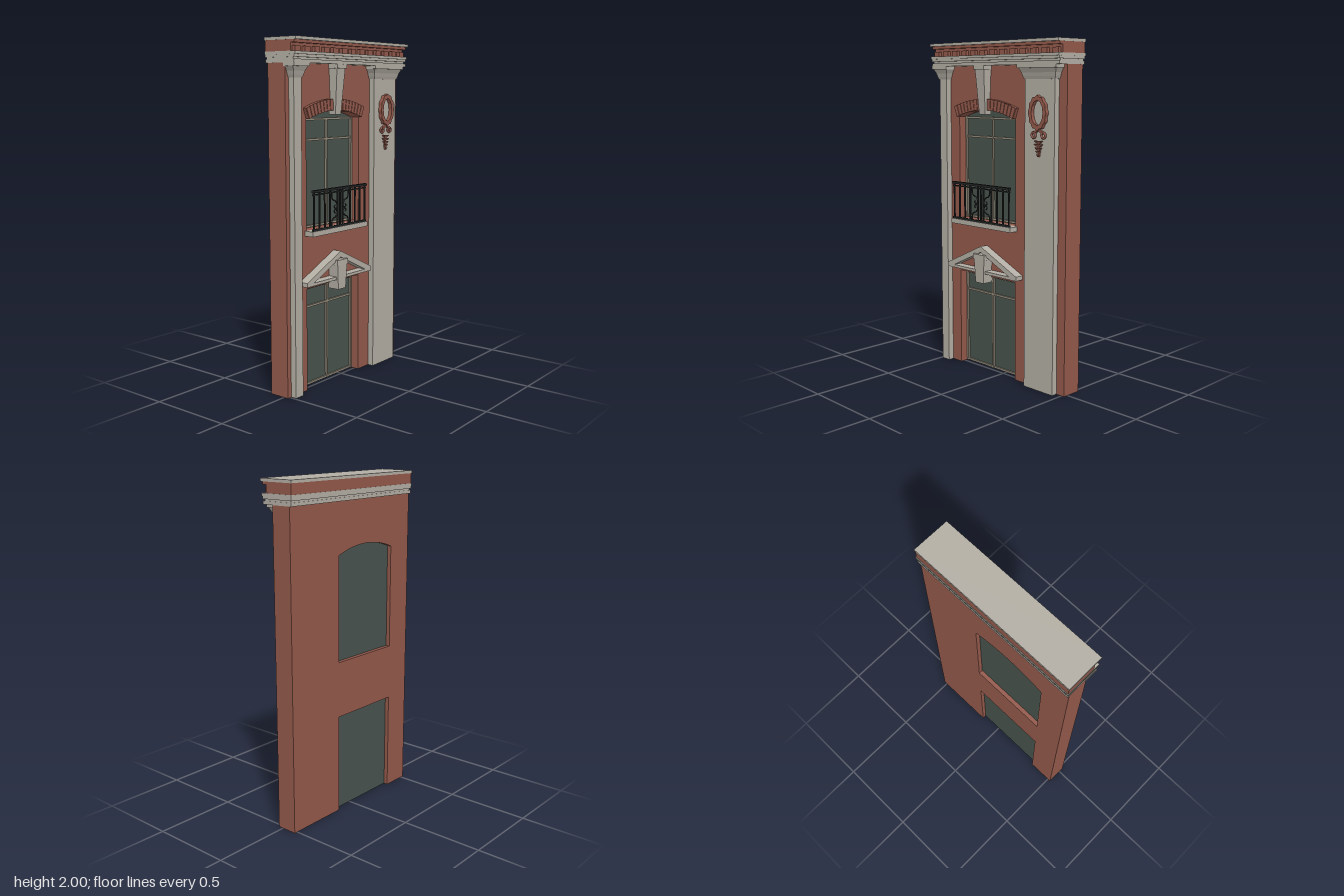
import * as THREE from 'three';

const mat = (name, color) => {
  const m = new THREE.MeshStandardMaterial({ color });
  m.name = name;
  return m;
};

export function createModel() {
  const root = new THREE.Group();
  root.name = 'facade';
  const brick = mat('brick', 0x93594b);
  const stone = mat('stone', 0xb3aea4);
  const glass = mat('darkGlass', 0x48534d);
  const trim = mat('windowTrim', 0x938a7a);
  const iron = mat('blackIron', 0x222324);

  const CX = -0.11;          // centre line of the openings
  const HALF = 0.24;         // half width of the openings
  const WALL = 0.03, BACK = -0.095, PIL = 0.066;

  const group = (name) => {
    const g = new THREE.Group();
    g.name = name;
    root.add(g);
    return g;
  };
  const add = (name, geo, material, parent = root) => {
    const m = new THREE.Mesh(geo, material);
    m.name = name;
    parent.add(m);
    return m;
  };
  const box = (name, x0, x1, y0, y1, z0, z1, material, parent) => {
    const g = new THREE.BoxGeometry(x1 - x0, y1 - y0, z1 - z0);
    g.translate((x0 + x1) / 2, (y0 + y1) / 2, (z0 + z1) / 2);
    return add(name, g, material, parent);
  };
  // Box whose width and front depth differ between bottom and top
  const taper = (name, cx, hb, ht, y0, y1, z0, zb, zt, material, parent) => {
    const g = new THREE.BoxGeometry(2, 1, 1);
    const p = g.attributes.position;
    for (let i = 0; i < p.count; i++) {
      const top = p.getY(i) > 0;
      p.setXYZ(i, cx + p.getX(i) * (top ? ht : hb), top ? y1 : y0,
        p.getZ(i) > 0 ? (top ? zt : zb) : z0);
    }
    const flat = g.toNonIndexed();
    flat.computeVertexNormals();
    return add(name, flat, material, parent);
  };
  const extrude = (name, shape, z0, z1, material, parent) => {
    const g = new THREE.ExtrudeGeometry(shape, { depth: z1 - z0, bevelEnabled: false, curveSegments: 20 });
    g.translate(0, 0, z0);
    return add(name, g, material, parent);
  };
  const poly = (pts) => new THREE.Shape(pts.map(([x, y]) => new THREE.Vector2(x, y)));

  // Segmental arch of the upper window
  const R = 0.66, AY = 0.945, A = Math.asin(HALF / R);
  const archOpening = (Type) => {
    const s = new Type();
    s.moveTo(CX - HALF, 0.935);
    s.lineTo(CX + HALF, 0.935);
    s.absarc(CX, AY, R, Math.PI / 2 - A, Math.PI / 2 + A, false);
    s.closePath();
    return s;
  };

  // Brick wall with a door notch and an arched window hole
  const wall = poly([[-0.52, 0], [CX - HALF, 0], [CX - HALF, 0.6], [CX + HALF, 0.6],
    [CX + HALF, 0], [0.52, 0], [0.52, 1.88], [-0.52, 1.88]]);
  wall.holes.push(archOpening(THREE.Path));
  extrude('wall', wall, BACK, WALL, brick);

  // Glazing and bars
  const G0 = -0.07, G1 = -0.03, F1 = -0.018;
  const door = group('doorGlazing'), win = group('windowGlazing');
  box('doorGlass', CX - HALF, CX + HALF, 0.002, 0.6, G0, G1, glass, door);
  extrude('windowGlass', archOpening(THREE.Shape), G0, G1, glass, win);
  const bars = (g, y0, y1, rows) => {
    for (const x of [-HALF + 0.007, 0, HALF - 0.007])
      box('verticalBar', CX + x - 0.006, CX + x + 0.006, y0, y1, G1, F1, trim, g);
    for (const y of rows)
      box('crossBar', CX - HALF, CX + HALF, y - 0.006, y + 0.006, G1, F1 - 0.002, trim, g);
  };
  bars(door, 0.002, 0.59, [0.01, 0.475, 0.585]);
  bars(win, 0.936, 1.56, [0.945, 1.44, 1.555]);

  // Brick voussoirs around the arch
  const arch = group('brickArch');
  const N = 18, step = 2 * A / N;
  for (let i = 0; i < N; i++) {
    const a0 = Math.PI / 2 - A + i * step + 0.0025, a1 = a0 + step - 0.005;
    const pt = (r, a) => [CX + r * Math.cos(a), AY + r * Math.sin(a)];
    extrude('archBrick', poly([pt(R, a0), pt(R + 0.065, a0), pt(R + 0.065, a1), pt(R, a1)]),
      WALL - 0.01, 0.055, brick, arch);
  }
  extrude('archBacking', poly([...Array(13).keys()].map((i) => i / 12 * 2 * A - A)
    .flatMap((a) => [[CX + R * Math.sin(a), AY + R * Math.cos(a)]])
    .concat([...Array(13).keys()].map((i) => A - i / 12 * 2 * A)
      .map((a) => [CX + (R + 0.063) * Math.sin(a), AY + (R + 0.063) * Math.cos(a)]))),
  WALL - 0.01, 0.049, brick, arch);

  // Upper keystone reaching the cornice
  const key = group('upperKeystone');
  taper('keystoneBody', CX, 0.025, 0.038, 1.58, 1.845, WALL - 0.01, 0.066, 0.088, stone, key);
  box('keystoneCap', CX - 0.044, CX + 0.044, 1.84, 1.87, WALL, 0.095, stone, key);

  // Pilasters with flared capitals
  const pilaster = (name, cx, h) => {
    const g = group(name);
    box('shaft', cx - h, cx + h, 0, 1.8, WALL - 0.01, PIL, stone, g);
    const prof = [[1.785, 0.004], [1.8, 0.01], [1.82, 0.016], [1.845, 0.029]];
    for (let i = 0; i < 3; i++) {
      const [y0, d0] = prof[i], [y1, d1] = prof[i + 1];
      taper('capitalFlare', cx, h + d0, h + d1, y0, y1, WALL - 0.01, PIL + d0 * 0.8, PIL + d1 * 0.8, stone, g);
    }
    box('capitalSlab', cx - h - 0.034, cx + h + 0.034, 1.845, 1.87, WALL - 0.01, 0.098, stone, g);
  };
  pilaster('narrowPilaster', -0.46, 0.031);
  pilaster('widePilaster', 0.35, 0.112);

  // Cornice: stacked courses with a dentil row
  const cornice = group('cornice');
  const course = (name, y0, y1, zf, m, hx = 0.525, zb = -0.113) =>
    box(name, -hx, hx, y0, y1, zb, zf, m, cornice);
  course('lowerMoulding', 1.863, 1.882, 0.098, stone, 0.522, -0.108);
  course('mouldingNeck', 1.882, 1.892, 0.088, stone, 0.518, -0.104);
  course('middleMoulding', 1.892, 1.907, 0.1, stone, 0.523, -0.11);
  course('upperMoulding', 1.907, 1.923, 0.106, stone);
  course('frieze', 1.923, 1.967, 0.072, brick, 0.522, -0.11);
  course('friezeBand', 1.967, 1.983, 0.097, brick, 0.522, -0.11);
  course('topSlab', 1.983, 2, 0.113, stone);
  for (let i = -6; i <= 6; i++)
    box('dentil', i * 0.081 - 0.022, i * 0.081 + 0.022, 1.923, 1.952, 0.07, 0.092, brick, cornice);

  // Window sill and iron railing
  box('sill', CX - 0.255, CX + 0.255, 0.906, 0.935, WALL - 0.01, 0.09, stone);
  const rail = group('railing');
  const RZ = 0.08;
  box('topRail', CX - 0.245, CX + 0.245, 1.152, 1.166, RZ - 0.01, RZ + 0.01, iron, rail);
  box('upperRail', CX - 0.245, CX + 0.245, 1.137, 1.144, RZ - 0.005, RZ + 0.005, iron, rail);
  box('bottomRail', CX - 0.245, CX + 0.245, 0.935, 0.947, RZ - 0.006, RZ + 0.006, iron, rail);
  for (const d of [0, 0.023, 0.092, 0.14, 0.187, 0.236])
    for (const s of d ? [-1, 1] : [1])
      box('baluster', CX + s * d - 0.004, CX + s * d + 0.004, 0.94, 1.155, RZ - 0.004, RZ + 0.004, iron, rail);
  const curl = [[0.078, 1.138], [0.07, 1.1], [0.04, 1.085], [0.027, 1.06], [0.04, 1.044], [0.055, 1.055], [0.045, 1.066]];
  for (const s of [-1, 1]) for (const v of [-1, 1]) {
    const path = new THREE.CatmullRomCurve3(curl.map(([x, y]) =>
      new THREE.Vector3(CX + s * x, 1.042 + v * (y - 1.042), RZ)));
    add('scroll', new THREE.TubeGeometry(path, 24, 0.0042, 5), iron, rail);
  }

  // Door pediment with its keystone
  const ped = group('doorPediment');
  const gable = poly([[-0.3, 0.625], [0.3, 0.625], [0.3, 0.65], [0, 0.79], [-0.3, 0.65]]
    .map(([x, y]) => [CX + x, y]));
  gable.holes.push(poly([[-0.24, 0.642], [0, 0.754], [0.24, 0.642]].map(([x, y]) => [CX + x, y])));
  extrude('gableMoulding', gable, WALL - 0.01, 0.085, stone, ped);
  taper('doorKeystone', CX, 0.034, 0.044, 0.567, 0.715, WALL - 0.01, 0.094, 0.098, stone, ped);
  box('doorKeystoneCap', CX - 0.05, CX + 0.05, 0.712, 0.742, WALL - 0.01, 0.101, stone, ped);

  // Wreath ornament on the wide pilaster
  const orn = group('wreathOrnament');
  const OX = 0.35, OY = 1.6;
  const ring = (rx, ry, wave) => [...Array(72).keys()].map((i) => {
    const a = i / 72 * Math.PI * 2, k = 1 + wave * Math.cos(12 * a);
    return [OX + rx * k * Math.cos(a), OY + ry * k * Math.sin(a)];
  });
  const wreath = poly(ring(0.065, 0.093, 0.04));
  wreath.holes.push(poly(ring(0.042, 0.068, 0.02)));
  extrude('wreath', wreath, PIL - 0.005, 0.088, brick, orn);
  for (const s of [-1, 1]) {
    const t = add('curl', new THREE.TorusGeometry(0.015, 0.007, 6, 14), brick, orn);
    t.position.set(OX + s * 0.037, 1.477, 0.073);
    const link = box('ribbon', -0.02, 0.02, -0.006, 0.006, PIL - 0.005, 0.08, brick, orn);
    link.position.set(OX + s * 0.02, 1.497, 0);
    link.rotation.z = s * -0.5;
  }
  [0.027, 0.029, 0.022, 0.015, 0.009].forEach((h, i) => {
    const y = 1.44 - i * 0.019;
    taper('pendant', OX, h * 0.6, h, y - 0.007, y + 0.006, PIL - 0.005, 0.076, 0.082, brick, orn);
  });
  taper('pendantStem', OX, 0.004, 0.008, 1.357, 1.445, PIL - 0.005, 0.071, 0.074, brick, orn);

  return root;
}
